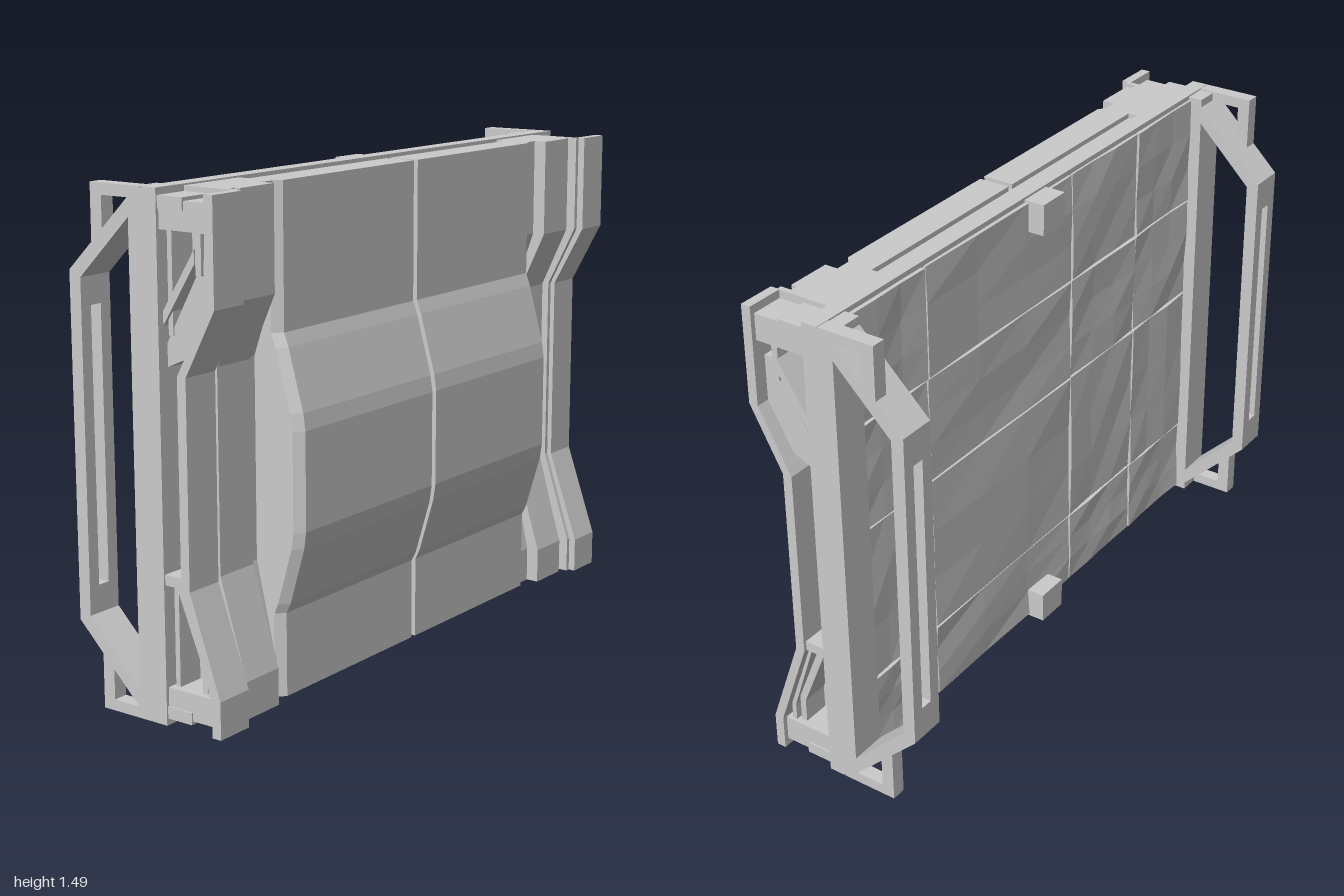
import * as THREE from 'three';

const material = new THREE.MeshStandardMaterial({ color: 0xcccccc, flatShading: true });
const H = 1.5;

// Repeatable small unevenness for the rear tiles
function makeNoise(seed) {
  let s = seed;
  return () => (s = (s * 16807) % 2147483647) / 2147483647;
}

export function createModel() {
  const group = new THREE.Group();

  function add(name, geometry) {
    const mesh = new THREE.Mesh(geometry, material);
    mesh.name = name;
    group.add(mesh);
    return mesh;
  }

  function box(name, x0, x1, y0, y1, z0, z1) {
    const g = new THREE.BoxGeometry(x1 - x0, y1 - y0, z1 - z0);
    add(name, g.translate((x0 + x1) / 2, (y0 + y1) / 2, (z0 + z1) / 2));
  }

  // Extrude a [z, y] outline along x; chamfer pulls the front edge of the outer end back
  function slab(name, outline, x0, x1, chamfer = 0) {
    const shape = new THREE.Shape(outline.map(([z, y]) => new THREE.Vector2(z, y)));
    const g = new THREE.ExtrudeGeometry(shape, { depth: x1 - x0, bevelEnabled: false });
    g.rotateY(-Math.PI / 2).translate(x1, 0, 0);
    if (chamfer) {
      const p = g.attributes.position;
      const outer = Math.max(Math.abs(x0), Math.abs(x1));
      for (let i = 0; i < p.count; i++) {
        if (Math.abs(p.getX(i)) > outer - 1e-4 && p.getZ(i) > 0.15) p.setZ(i, p.getZ(i) - chamfer);
      }
      g.computeVertexNormals();
    }
    add(name, g);
  }

  // The same slab on both the left and the right
  function pair(name, outline, x0, x1, chamfer = 0) {
    slab('left' + name, outline, x0, x1, chamfer);
    slab('right' + name, outline, -x1, -x0, chamfer);
  }

  const rect = (z0, z1, y0, y1) => [[z0, y0], [z1, y0], [z1, y1], [z0, y1]];
  const flip = (outline) => outline.map(([z, y]) => [z, H - y]);

  // Side pair repeated at top and bottom
  function quad(name, outline, x0, x1) {
    pair('Upper' + name, outline, x0, x1);
    pair('Lower' + name, flip(outline), x0, x1);
  }

  // Main plate, core and cross rails
  box('mainPlate', -0.995, 0.995, 0.005, 1.495, 0.002, 0.054);
  box('core', -0.87, 0.87, 0.03, 1.465, 0.05, 0.095);
  box('topRail', -0.99, 0.99, 1.44, 1.475, 0.05, 0.14);
  box('bottomRail', -0.99, 0.99, 0.025, 0.06, 0.05, 0.14);

  // Bulged centre panels split by a narrow seam
  const centre = [
    [0.09, 0.01], [0.19, 0.01], [0.19, 0.26], [0.205, 0.29], [0.255, 0.46], [0.262, 0.51],
    [0.262, 0.8], [0.255, 0.85], [0.205, 1.03], [0.19, 1.07], [0.19, 1.49], [0.09, 1.49],
  ];
  pair('CentrePanel', centre, 0.01, 0.632);
  pair('CentrePanelEdge', centre, 0.632, 0.658, 0.025);

  // Waisted side panels: high ends, low middle
  const waist = (end, mid) => [
    [end, 0.01], [end, 0.12], [mid, 0.41], [mid, 1.0], [end, 1.19], [end, 1.49],
  ];
  function shell(end, mid, depth) {
    const front = waist(end, mid);
    return front.concat(waist(end - depth, mid - depth).reverse());
  }
  const solid = (end, mid) => waist(end, mid).concat([[0.05, 1.49], [0.05, 0.01]]);
  pair('OuterPanel', shell(0.252, 0.15, 0.03), 0.88, 1.0);
  pair('OuterPanelStep', solid(0.23, 0.135), 0.865, 0.882);
  pair('GrooveStrip', solid(0.195, 0.112), 0.84, 0.866);
  pair('MiddlePanel', solid(0.213, 0.125), 0.70, 0.842);
  pair('RecessStrip', solid(0.172, 0.105), 0.655, 0.702);

  // Side framing between the plate and the outer panels
  quad('EndRail', rect(0.05, 0.225, 1.385, 1.465), 0.88, 0.985);
  quad('InnerPost', rect(0.064, 0.08, 1.1, 1.4), 0.88, 0.965);
  pair('UpperFrontPost', rect(0.165, 0.185, 1.27, 1.4), 0.88, 0.97);
  pair('UpperBrace', [[0.05, 1.01], [0.05, 1.07], [0.195, 1.33], [0.22, 1.33], [0.22, 1.19], [0.14, 1.05]],
    0.88, 0.96);
  pair('UpperThinBrace', [[0.05, 1.12], [0.05, 1.16], [0.165, 1.34], [0.165, 1.3]], 0.88, 0.975);
  pair('LowerShelf', rect(0.05, 0.14, 0.41, 0.44), 0.88, 0.99);
  pair('LowerBrace', [[0.07, 0.41], [0.095, 0.41], [0.18, 0.2], [0.18, 0.1], [0.16, 0.1], [0.16, 0.19]],
    0.88, 0.965);
  pair('LowerThinBrace', [[0.11, 0.41], [0.13, 0.41], [0.205, 0.18], [0.205, 0.1], [0.19, 0.1], [0.19, 0.17]],
    0.88, 0.975);

  // Rear handles: base, angled arms, slotted grip and thin corner ears
  pair('HandleBase', rect(-0.045, 0.004, 0.01, 1.49), 0.88, 0.995);
  quad('HandleArm', [[-0.04, 1.47], [-0.265, 1.25], [-0.265, 1.15], [-0.225, 1.15], [-0.225, 1.232], [-0.04, 1.415]],
    0.88, 0.995);
  const grip = rect(-0.265, -0.225, 0.35, 1.15);
  pair('GripInnerBar', grip, 0.88, 0.918);
  pair('GripOuterBar', grip, 0.957, 0.995);
  quad('EarTop', rect(-0.18, 0.0, 1.462, 1.495), 0.95, 0.995);
  quad('EarPost', [[-0.14, 1.465], [-0.18, 1.465], [-0.18, 1.33], [-0.14, 1.37]], 0.95, 0.995);

  // Uneven rear tiles with narrow joints
  const noise = makeNoise(41);
  const xs = [-0.88, -0.55, -0.18, 0.55, 0.88];
  const ys = [0.015, 0.27, 0.79, 1.13, 1.485];
  for (let i = 0; i < 4; i++) {
    for (let j = 0; j < 4; j++) {
      const w = xs[i + 1] - xs[i] - 0.008;
      const h = ys[j + 1] - ys[j] - 0.008;
      const g = new THREE.BoxGeometry(w, h, 0.014, 3, 3, 1);
      const p = g.attributes.position;
      const bumps = Array.from({ length: 16 }, () => noise() * 0.008);
      for (let k = 0; k < p.count; k++) {
        if (p.getZ(k) > 0) continue;
        const u = Math.round((p.getX(k) / w + 0.5) * 3);
        const v = Math.round((p.getY(k) / h + 0.5) * 3);
        p.setZ(k, p.getZ(k) + bumps[u * 4 + v]);
      }
      g.translate((xs[i] + xs[i + 1]) / 2, (ys[j] + ys[j + 1]) / 2, -0.007);
      const tile = g.toNonIndexed();
      tile.computeVertexNormals();
      add('rearTile', tile);
    }
  }

  // Rear mounting blocks
  box('upperBlock', -0.055, 0.055, 1.39, 1.488, -0.065, 0.01);
  box('lowerBlock', -0.055, 0.055, 0.012, 0.11, -0.065, 0.01);

  return group;
}
